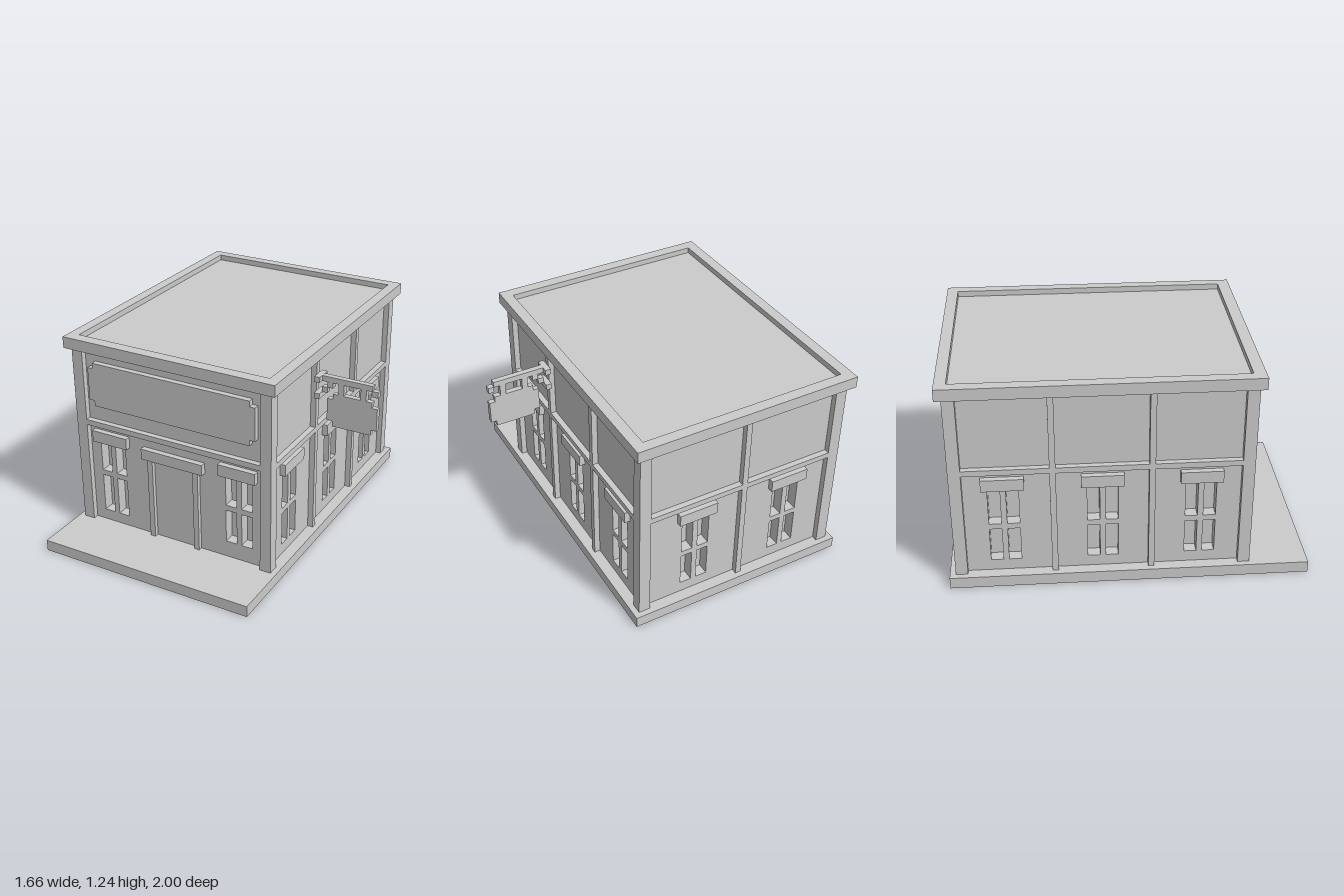
import * as THREE from 'three';

const material = new THREE.MeshStandardMaterial({ color: 0xcccccc, flatShading: true });

// Outer faces of the corner posts, wall heights and the building's small unit
const X0 = -0.8, X1 = 0.463, Z0 = -0.967, Z1 = 0.67;
const Y0 = 0.067, Y1 = 1.17;
const U = 0.0333, POST = 0.067;

function add(parent, name, geometry) {
  const mesh = new THREE.Mesh(geometry, material);
  mesh.name = name;
  parent.add(mesh);
  return mesh;
}

// Box given by its limits on each axis
function box(parent, name, x0, x1, y0, y1, z0, z1) {
  const mesh = add(parent, name, new THREE.BoxGeometry(x1 - x0, y1 - y0, z1 - z0));
  mesh.position.set((x0 + x1) / 2, (y0 + y1) / 2, (z0 + z1) / 2);
  return mesh;
}

function rectangle(target, x0, x1, y0, y1) {
  target.moveTo(x0, y0);
  target.lineTo(x1, y0);
  target.lineTo(x1, y1);
  target.lineTo(x0, y1);
  target.closePath();
  return target;
}

// Rectangle with square notches cut from its corners
function notched(x0, x1, y0, y1, n) {
  return new THREE.Shape([
    [x0 + n, y0], [x1 - n, y0], [x1 - n, y0 + n], [x1, y0 + n],
    [x1, y1 - n], [x1 - n, y1 - n], [x1 - n, y1], [x0 + n, y1],
    [x0 + n, y1 - n], [x0, y1 - n], [x0, y0 + n], [x0 + n, y0 + n],
  ].map(([x, y]) => new THREE.Vector2(x, y)));
}

function extrude(shape, depth) {
  return new THREE.ExtrudeGeometry(shape, { depth, bevelEnabled: false });
}

// One facade between two posts; local z = 0 is the post face, +z is outward
function facade(name, a, b, windows, studs) {
  const group = new THREE.Group();
  group.name = name;

  // Wall with window openings
  const shape = rectangle(new THREE.Shape(), a, b, Y0, Y1);
  for (const w of windows) {
    shape.holes.push(rectangle(new THREE.Path(), w.x - 0.084, w.x + 0.084, w.sill, 0.6));
  }
  add(group, 'wall', extrude(shape, 2 * U)).position.z = -3 * U;

  // Window bars and lintels
  for (const w of windows) {
    box(group, 'windowMullion', w.x - 0.016, w.x + 0.016, w.sill, 0.6, -3 * U, -U);
    box(group, 'windowCrossbar', w.x - 0.084, w.x + 0.084, w.bar, w.bar + U, -3 * U, -U);
    box(group, 'windowLintel', w.x - 0.116, w.x + 0.116, 0.6, 0.67, -U, 0);
  }

  // Floor band and intermediate timber posts
  box(group, 'floorBand', a, b, 0.7, 0.733, -U, 0);
  for (const s of studs) box(group, 'middlePost', s - U / 2, s + U / 2, Y0, Y1, -U, 0);
  return group;
}

const windowAt = (x, sill = 0.133, bar = 0.337) => ({ x, sill, bar });

// Bracket and hanging board on the left wall
function hangingSign() {
  const group = new THREE.Group();
  group.name = 'hangingSign';
  const zc = 0.117, z0 = zc - U / 2, z1 = zc + U / 2;
  box(group, 'bracketArm', X1, 0.797, 1.032, 1.065, z0, z1);
  for (let i = 0; i < 3; i++) {
    box(group, 'bracketBrace', X1 + i * U, X1 + (i + 1) * U,
      0.932 + i * U, 0.932 + (i + 1) * U, z0, z1);
  }
  box(group, 'bracketTip', 0.797, 0.83, 1.0, 1.035, z0, z1);
  for (const y of [0.932, 1.032]) {
    box(group, 'wallPlate', X1, X1 + U, y, y + U, zc - 0.05, zc + 0.05);
  }
  for (const x of [0.595, 0.728]) box(group, 'hanger', x, x + U, 0.96, 1.035, z0, z1);
  const board = add(group, 'signBoard', extrude(notched(0.53, 0.83, 0.766, 0.966, U), U));
  board.position.z = z0;
  return group;
}

export function createModel() {
  const model = new THREE.Group();
  model.name = 'townBuilding';

  // Base with porch, and the core whose faces back the window openings
  box(model, 'base', -0.833, 0.496, 0, Y0, -1, 1);
  box(model, 'windowBacking', X0 + 3 * U, X1 - 3 * U, Y0, Y1, Z0 + 3 * U, Z1 - 3 * U);

  // Corner posts
  for (const x of [X0, X1 - POST]) {
    for (const z of [Z0, Z1 - POST]) box(model, 'cornerPost', x, x + POST, Y0, Y1, z, z + POST);
  }

  // Front facade with doorway and blank fascia board
  const front = facade('frontFacade', X0 + POST, X1 - POST,
    [windowAt(-0.583, 0.133, 0.37), windowAt(0.248, 0.167, 0.37)], []);
  front.position.z = Z1;
  for (const x of [-0.333, -0.035]) {
    box(front, 'doorJamb', x, x + U, Y0, 0.57, -U, -0.008);
  }
  box(front, 'doorLintel', -0.368, 0.032, 0.57, 0.635, -U, 0);
  add(front, 'fasciaBoard', extrude(notched(-0.7, 0.366, 0.835, 1.1, U), U)).position.z = -U;
  model.add(front);

  // Back facade, turned round so its local x is reversed
  const back = facade('backFacade', -X1 + POST, -X0 - POST,
    [windowAt(-0.1), windowAt(0.483)], [0.183]);
  back.position.z = Z0;
  back.rotation.y = Math.PI;
  model.add(back);

  // Side facades share the same layout, mirrored
  for (const side of [1, -1]) {
    const ends = [-side * Z0 - side * POST, -side * Z1 + side * POST].sort((p, q) => p - q);
    const wall = facade(side > 0 ? 'leftFacade' : 'rightFacade', ends[0], ends[1],
      [0.387, -0.149, -0.685].map((z) => windowAt(-side * z)),
      [0.117, -0.416].map((z) => -side * z));
    wall.position.x = side > 0 ? X1 : X0;
    wall.rotation.y = side * Math.PI / 2;
    model.add(wall);
  }

  // Roof slab and raised rim
  box(model, 'roofSlab', -0.833, 0.496, Y1, 1.204, -1, 0.7);
  const rim = rectangle(new THREE.Shape(), -0.833, 0.496, -0.7, 1);
  rim.holes.push(rectangle(new THREE.Path(), -0.77, 0.433, -0.633, 0.937));
  const rimMesh = add(model, 'roofRim', extrude(rim, U));
  rimMesh.rotation.x = -Math.PI / 2;
  rimMesh.position.y = 1.204;

  model.add(hangingSign());
  return model;
}
